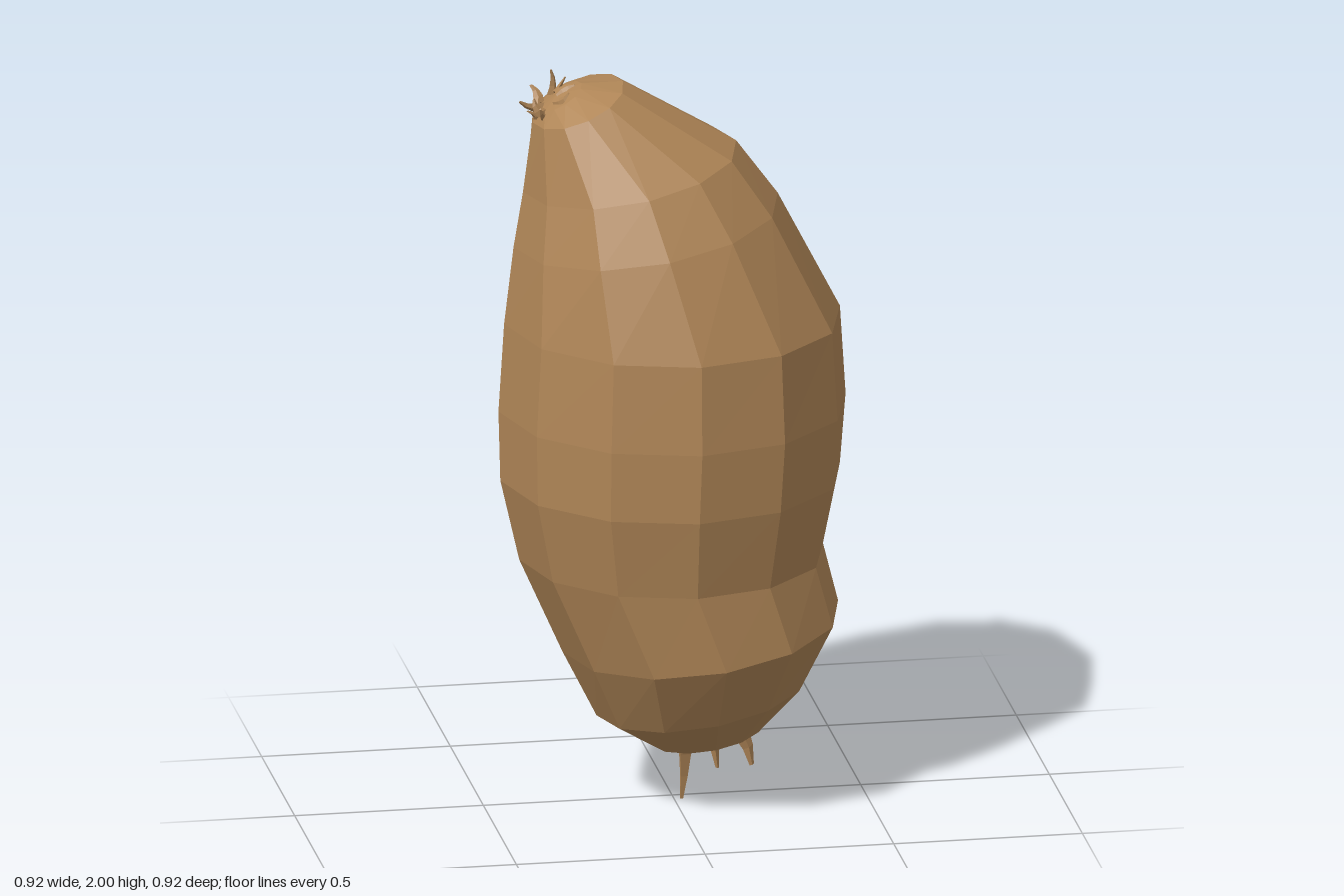
import * as THREE from 'three';

const SIDES = 12;
const skin = new THREE.MeshStandardMaterial({ color: 0xb08657, flatShading: true });

// Body rings, bottom to top: [left x, left y, right x, right y, half depth]
const RINGS = [
  [-0.05, 0.14, 0.235, 0.185, 0.14],
  [-0.20, 0.23, 0.35, 0.32, 0.28],
  [-0.29, 0.41, 0.44, 0.51, 0.40],
  [-0.405, 0.67, 0.40, 0.67, 0.405],
  [-0.455, 0.89, 0.445, 0.89, 0.45],
  [-0.46, 1.08, 0.46, 1.08, 0.46],
  [-0.445, 1.32, 0.445, 1.32, 0.45],
  [-0.42, 1.53, 0.28, 1.64, 0.37],
  [-0.395, 1.68, 0.17, 1.79, 0.30],
  [-0.37, 1.87, -0.13, 1.97, 0.165],
  [-0.35, 1.905, -0.24, 1.97, 0.07],
];

// Loft of tilted rings closed by a pole at each end
function bodyGeometry() {
  const pos = [];
  const index = [];
  for (const [xl, yl, xr, yr, rz] of RINGS) {
    for (let i = 0; i < SIDES; i++) {
      const a = (i / SIDES) * Math.PI * 2;
      const c = Math.cos(a);
      pos.push((xl + xr) / 2 + ((xr - xl) / 2) * c, (yl + yr) / 2 + ((yr - yl) / 2) * c, rz * Math.sin(a));
    }
  }
  const bottom = RINGS.length * SIDES;
  const top = bottom + 1;
  pos.push(0.1, 0.13, 0, -0.305, 1.945, 0);
  const last = (RINGS.length - 1) * SIDES;
  for (let i = 0; i < SIDES; i++) {
    const j = (i + 1) % SIDES;
    for (let r = 0; r < last; r += SIDES) {
      index.push(r + i, r + SIDES + i, r + j, r + j, r + SIDES + i, r + SIDES + j);
    }
    index.push(bottom, i, j, top, last + j, last + i);
  }
  const g = new THREE.BufferGeometry();
  g.setAttribute('position', new THREE.Float32BufferAttribute(pos, 3));
  g.setIndex(index);
  const flat = g.toNonIndexed();
  flat.computeVertexNormals();
  return flat;
}

// Flattened, bent spike running from base to tip
function spike(name, base, tip, width, depth, bend, twist = 0) {
  const from = new THREE.Vector3(...base);
  const dir = new THREE.Vector3(...tip).sub(from);
  const length = dir.length();
  const g = new THREE.CylinderGeometry(0.2, 1, length, 4, 3);
  g.translate(0, length / 2, 0);
  const p = g.attributes.position;
  for (let i = 0; i < p.count; i++) {
    const t = p.getY(i) / length;
    p.setX(i, p.getX(i) * width + bend * 4 * t * (1 - t));
    p.setZ(i, p.getZ(i) * depth);
  }
  g.rotateY(twist);
  g.computeVertexNormals();
  const mesh = new THREE.Mesh(g, skin);
  mesh.name = name;
  mesh.position.copy(from);
  mesh.quaternion.setFromUnitVectors(new THREE.Vector3(0, 1, 0), dir.normalize());
  return mesh;
}

export function createModel() {
  const model = new THREE.Group();
  model.name = 'tuber';

  const body = new THREE.Mesh(bodyGeometry(), skin);
  body.name = 'body';
  model.add(body);

  // Roots under the lower end
  const roots = new THREE.Group();
  roots.name = 'roots';
  roots.add(
    spike('longRoot', [0.03, 0.18, 0.025], [0.02, 0.0, 0.03], 0.035, 0.024, -0.008),
    spike('middleRoot', [0.14, 0.19, -0.085], [0.135, 0.04, -0.085], 0.024, 0.03, 0.01),
    spike('bentRoot', [0.155, 0.2, -0.015], [0.215, 0.065, -0.02], 0.032, 0.02, -0.012),
  );
  model.add(roots);

  // Ring of small curled sprouts at the upper end
  const sprouts = new THREE.Group();
  sprouts.name = 'sprouts';
  const list = [
    [[-0.35, 1.91, -0.03], [-0.365, 1.955, -0.055]],
    [[-0.315, 1.935, -0.03], [-0.315, 2.0, -0.035]],
    [[-0.305, 1.94, -0.02], [-0.275, 1.975, -0.045]],
    [[-0.305, 1.94, 0.005], [-0.26, 1.97, 0.01]],
    [[-0.345, 1.91, 0.0], [-0.405, 1.93, 0.005]],
    [[-0.345, 1.9, 0.025], [-0.37, 1.94, 0.02]],
    [[-0.345, 1.9, 0.035], [-0.36, 1.925, 0.06]],
    [[-0.315, 1.93, 0.03], [-0.285, 1.965, 0.065]],
    [[-0.355, 1.88, 0.005], [-0.385, 1.905, 0.01]],
  ];
  list.forEach(([base, tip], i) => {
    sprouts.add(spike('sprout' + (i + 1), base, tip, 0.018, 0.009, 0.008, i * 0.7));
  });
  model.add(sprouts);

  return model;
}
